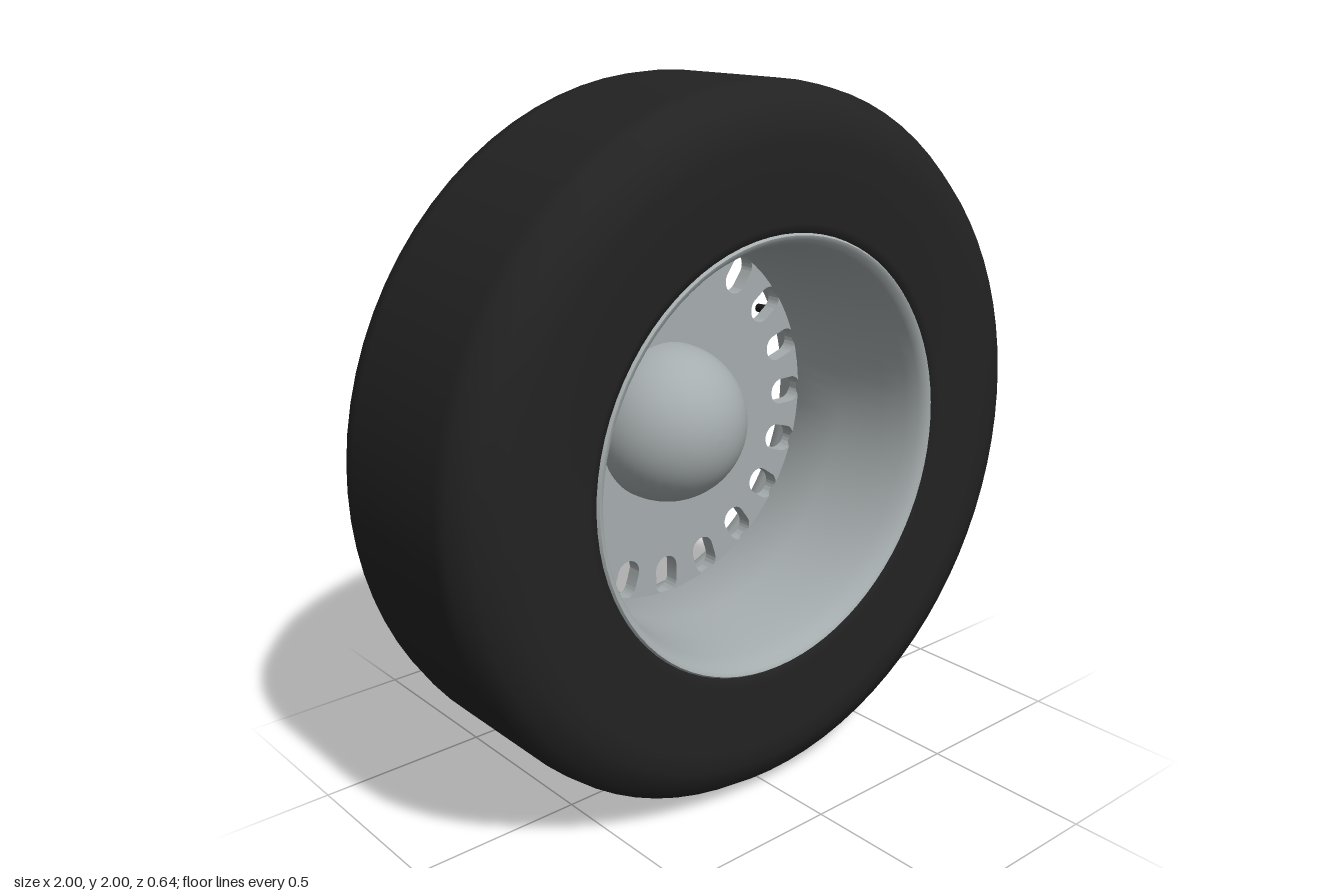
import * as THREE from 'three';
import { toCreasedNormals } from 'three/addons/utils/BufferGeometryUtils.js';

const SEG = 80;

// Revolve [radius, z] pairs about the wheel axle
function revolve(points, crease) {
  const g = new THREE.LatheGeometry(points.map(([r, z]) => new THREE.Vector2(r, z)), SEG);
  g.rotateX(Math.PI / 2);
  return crease ? toCreasedNormals(g, crease) : g;
}

// Rounded radial slot between two radii at a given angle
function slotPath(angle, r0, r1, half) {
  const path = new THREE.Path();
  const at = (r) => [r * Math.cos(angle), r * Math.sin(angle)];
  path.absarc(...at(r1 - half), half, angle - Math.PI / 2, angle + Math.PI / 2, false);
  path.absarc(...at(r0 + half), half, angle + Math.PI / 2, angle + Math.PI * 1.5, false);
  path.closePath();
  return path;
}

export function createModel() {
  const rubber = new THREE.MeshStandardMaterial({ color: 0x222222 });
  rubber.name = 'rubber';
  const metal = new THREE.MeshStandardMaterial({ color: 0xa6adae, side: THREE.DoubleSide });
  metal.name = 'metal';
  const black = new THREE.MeshStandardMaterial({ color: 0x161616 });
  black.name = 'black';

  const wheel = new THREE.Group();
  wheel.name = 'wheel';
  wheel.position.y = 1;
  const add = (name, geometry, material) => {
    const mesh = new THREE.Mesh(geometry, material);
    mesh.name = name;
    wheel.add(mesh);
    return mesh;
  };

  // Tyre: flat tread, bevelled shoulders, flat sidewalls
  const shoulder = [[1, 0.19], [0.994, 0.235], [0.955, 0.29], [0.89, 0.316], [0.84, 0.318], [0.64, 0.318], [0.605, 0.305]];
  const back = shoulder.map(([r, z]) => [r, -z]).reverse();
  add('tyre', revolve([...back, ...shoulder, [0.59, 0.25], [0.59, -0.25], back[0]]), rubber);

  // Rim barrel with rolled lips front and back
  add('rim', revolve([
    [0.59, -0.28], [0.592, -0.29], [0.585, -0.295], [0.575, -0.285], [0.566, -0.25], [0.56, -0.21],
    [0.545, -0.175], [0.548, 0], [0.562, 0.17], [0.574, 0.25], [0.585, 0.29], [0.598, 0.312],
    [0.61, 0.316], [0.616, 0.308], [0.61, 0.29],
  ], 0.8), metal);

  // Wheel disc with a ring of slots
  const disc = new THREE.Shape().absarc(0, 0, 0.566, 0, Math.PI * 2, false);
  for (let i = 0; i < 20; i++) disc.holes.push(slotPath(i * Math.PI / 10, 0.43, 0.552, 0.04));
  const discGeo = new THREE.ExtrudeGeometry(disc, { depth: 0.045, bevelEnabled: false, curveSegments: 40 });
  discGeo.translate(0, 0, -0.22);
  add('disc', toCreasedNormals(discGeo, 0.6), metal);

  // Domed hub on the front
  const dome = [[0.235, -0.19]];
  for (let i = 0; i <= 14; i++) {
    const a = (i / 14) * Math.PI / 2;
    dome.push([Math.max(0, 0.235 * Math.cos(a)), -0.165 + 0.235 * Math.sin(a)]);
  }
  add('hubDome', revolve(dome), metal);

  // Stepped hub ring on the back, around the dark axle hole
  add('hubRing', revolve([
    [0.095, -0.25], [0.095, -0.27], [0.16, -0.27], [0.168, -0.262], [0.178, -0.27], [0.192, -0.268],
    [0.208, -0.258], [0.224, -0.24], [0.25, -0.236], [0.257, -0.215],
  ], 0.6), metal);
  const hole = new THREE.CircleGeometry(0.096, 40).rotateY(Math.PI);
  add('axleHole', hole, black).position.z = -0.262;

  // Valve stem poking out at the back
  const valve = new THREE.CylinderGeometry(0.013, 0.018, 0.1, 16).rotateX(-Math.PI / 2);
  add('valve', valve, black).position.set(0.505, 0.237, -0.27);

  const model = new THREE.Group();
  model.add(wheel);
  return model;
}
